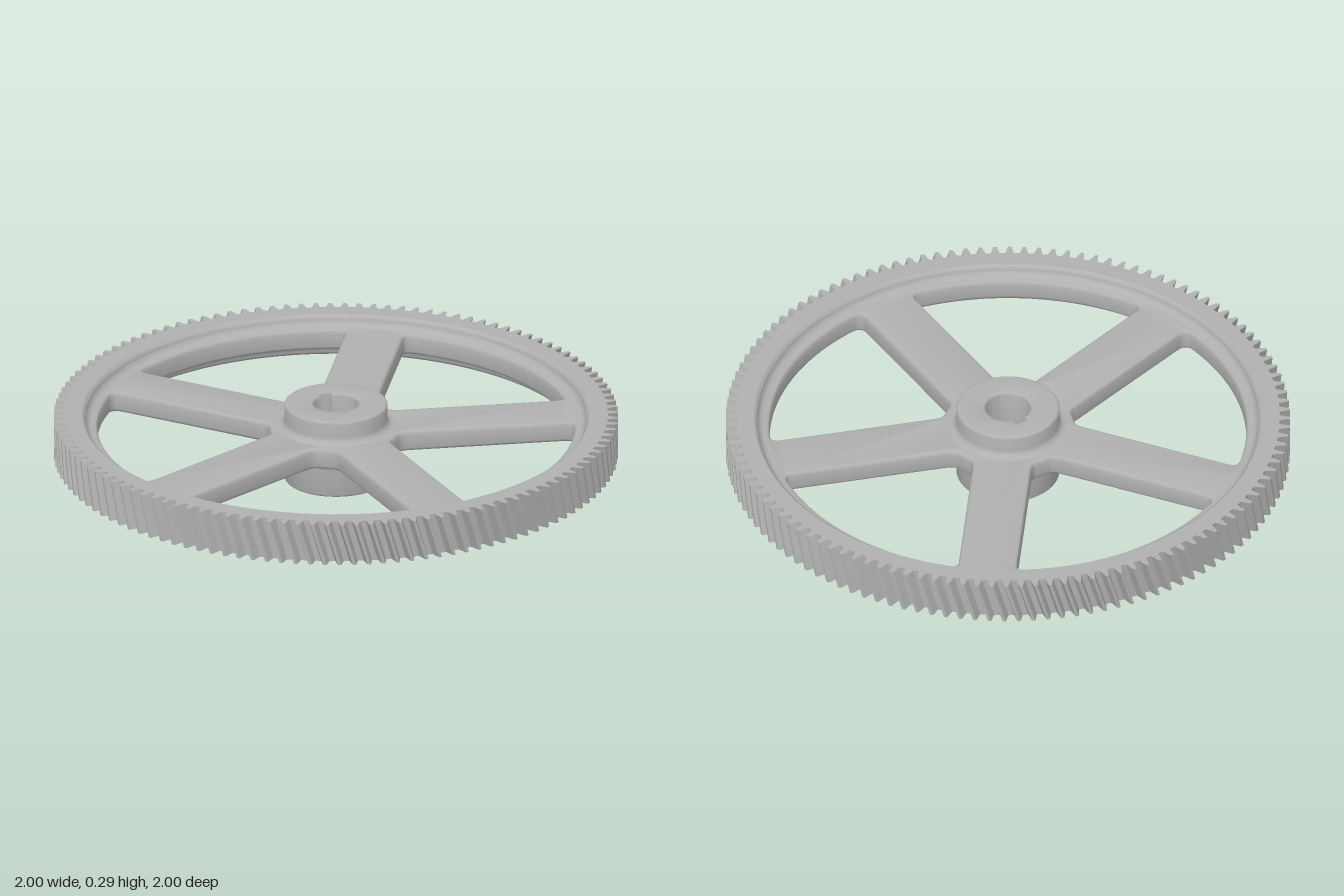
import * as THREE from 'three';
import { toCreasedNormals } from 'three/addons/utils/BufferGeometryUtils.js';

const TEETH = 120, TWIST = 0.045;
const RIM_LOW = 0.09, RIM_HIGH = 0.243, WEB_LOW = 0.129, WEB_HIGH = 0.204, HUB_HIGH = 0.288;
const polar = (r, a) => new THREE.Vector2(r * Math.cos(a), r * Math.sin(a));

export function createModel() {
  const steel = new THREE.MeshStandardMaterial({ color: 0xb0b0b0 });
  steel.name = 'steel grey';
  const group = new THREE.Group();
  group.name = 'helicalGear';

  const add = (name, geometry) => {
    const mesh = new THREE.Mesh(toCreasedNormals(geometry, 0.6), steel);
    mesh.name = name;
    group.add(mesh);
  };

  // Extrude a plan shape upward between two heights, with rounded edges of size b
  const slab = (shape, low, high, b, extra = {}) => {
    const g = new THREE.ExtrudeGeometry(shape, {
      depth: high - low - 2 * b, curveSegments: 48, bevelEnabled: b > 0,
      bevelSize: b, bevelThickness: b, bevelOffset: -b, bevelSegments: 3, ...extra,
    });
    g.rotateX(-Math.PI / 2);
    g.translate(0, low + b, 0);
    return g;
  };

  // Toothed rim, twisted along its height
  const outline = [];
  const pitch = (2 * Math.PI) / TEETH;
  const tooth = [[-0.5, 0.963], [-0.3, 0.963], [-0.23, 0.976], [-0.11, 1], [0.11, 1], [0.23, 0.976], [0.3, 0.963]];
  for (let i = 0; i < TEETH; i++)
    for (const [t, r] of tooth) outline.push(polar(r, (i + t) * pitch));
  const rimShape = new THREE.Shape(outline);
  rimShape.holes.push(new THREE.Path().absarc(0, 0, 0.9, 0, 2 * Math.PI, true));
  const rim = slab(rimShape, RIM_LOW, RIM_HIGH, 0, { steps: 4 });
  const pos = rim.attributes.position;
  const v = new THREE.Vector3(), up = new THREE.Vector3(0, 1, 0);
  for (let i = 0; i < pos.count; i++) {
    v.fromBufferAttribute(pos, i);
    const t = (v.y - RIM_LOW) / (RIM_HIGH - RIM_LOW) - 0.5;
    v.applyAxisAngle(up, -TWIST * t);
    pos.setXYZ(i, v.x, v.y, v.z);
  }
  add('toothedRim', rim);

  // Inner wall of the rim: chamfer, wall and fillet down to the web, mirrored below
  const wall = [[0.9, RIM_HIGH], [0.891, RIM_HIGH - 0.007]];
  for (let i = 0; i <= 6; i++) {
    const a = (i / 6) * Math.PI / 2;
    wall.push([0.861 + 0.027 * Math.cos(a), WEB_HIGH + 0.027 * (1 - Math.sin(a))]);
  }
  const topWall = wall.map(([r, y]) => new THREE.Vector2(r, y));
  const lowWall = wall.map(([r, y]) => new THREE.Vector2(r, RIM_LOW + RIM_HIGH - y)).reverse();
  add('rimInnerWallTop', new THREE.LatheGeometry(topWall, 128));
  add('rimInnerWallBottom', new THREE.LatheGeometry(lowWall, 128));

  // Web with five windows, leaving five straight spokes
  const web = new THREE.Shape().absarc(0, 0, 0.91, 0, 2 * Math.PI, false);
  const R = 0.845, r = 0.238, h = 0.104, f = 0.035, half = Math.PI / 5;
  const far = Math.sqrt(R * R - h * h), near = Math.sqrt(r * r - h * h);
  const outer = half - Math.asin(h / R) - f / R;
  const inner = (half - Math.asin(h / r)) * 0.5;
  for (let k = 0; k < 5; k++) {
    const a = Math.PI / 2 + k * 2 * half;
    // Point on the spoke edge at side s, at distance t along the spoke
    const edge = (s, t) => polar(t, a + s * half).add(polar(h, a + s * (half - Math.PI / 2)));
    const hole = new THREE.Path();
    const line = (p) => hole.lineTo(p.x, p.y);
    const round = (c, p) => hole.quadraticCurveTo(c.x, c.y, p.x, p.y);
    const start = edge(-1, near + f);
    hole.moveTo(start.x, start.y);
    line(edge(-1, far - f));
    round(edge(-1, far), polar(R, a - outer));
    hole.absarc(0, 0, R, a - outer, a + outer, false);
    round(edge(1, far), edge(1, far - f));
    line(edge(1, near + f));
    round(edge(1, near), polar(r, a + inner));
    line(polar(r, a - inner));
    round(edge(-1, near), start);
    web.holes.push(hole);
  }
  web.holes.push(new THREE.Path().absarc(0, 0, 0.13, 0, 2 * Math.PI, true));
  add('spokes', slab(web, WEB_LOW, WEB_HIGH, 0.012, { curveSegments: 24 }));

  // Hub with a keyed bore
  const hub = new THREE.Shape().absarc(0, 0, 0.183, 0, 2 * Math.PI, false);
  const keyHalf = 0.022, bore = 0.08, keyAngle = Math.asin(keyHalf / bore);
  const hole = new THREE.Path();
  hole.moveTo(-keyHalf, 0.1);
  hole.lineTo(-keyHalf, bore * Math.cos(keyAngle));
  hole.absarc(0, 0, bore, Math.PI / 2 + keyAngle, Math.PI * 2.5 - keyAngle, false);
  hole.lineTo(keyHalf, 0.1);
  hole.closePath();
  hub.holes.push(hole);
  add('hub', slab(hub, 0, HUB_HIGH, 0.008));

  // Fillets where the hub meets the web
  const fillet = [];
  for (let i = 0; i <= 6; i++) {
    const a = (i / 6) * Math.PI / 2;
    fillet.push([0.183 + 0.026 * (1 - Math.sin(a)), 0.026 * (1 - Math.cos(a))]);
  }
  add('hubFilletTop', new THREE.LatheGeometry(
    fillet.map(([x, y]) => new THREE.Vector2(x, WEB_HIGH + y)), 64));
  add('hubFilletBottom', new THREE.LatheGeometry(
    fillet.map(([x, y]) => new THREE.Vector2(x, WEB_LOW - y)).reverse(), 64));

  return group;
}
